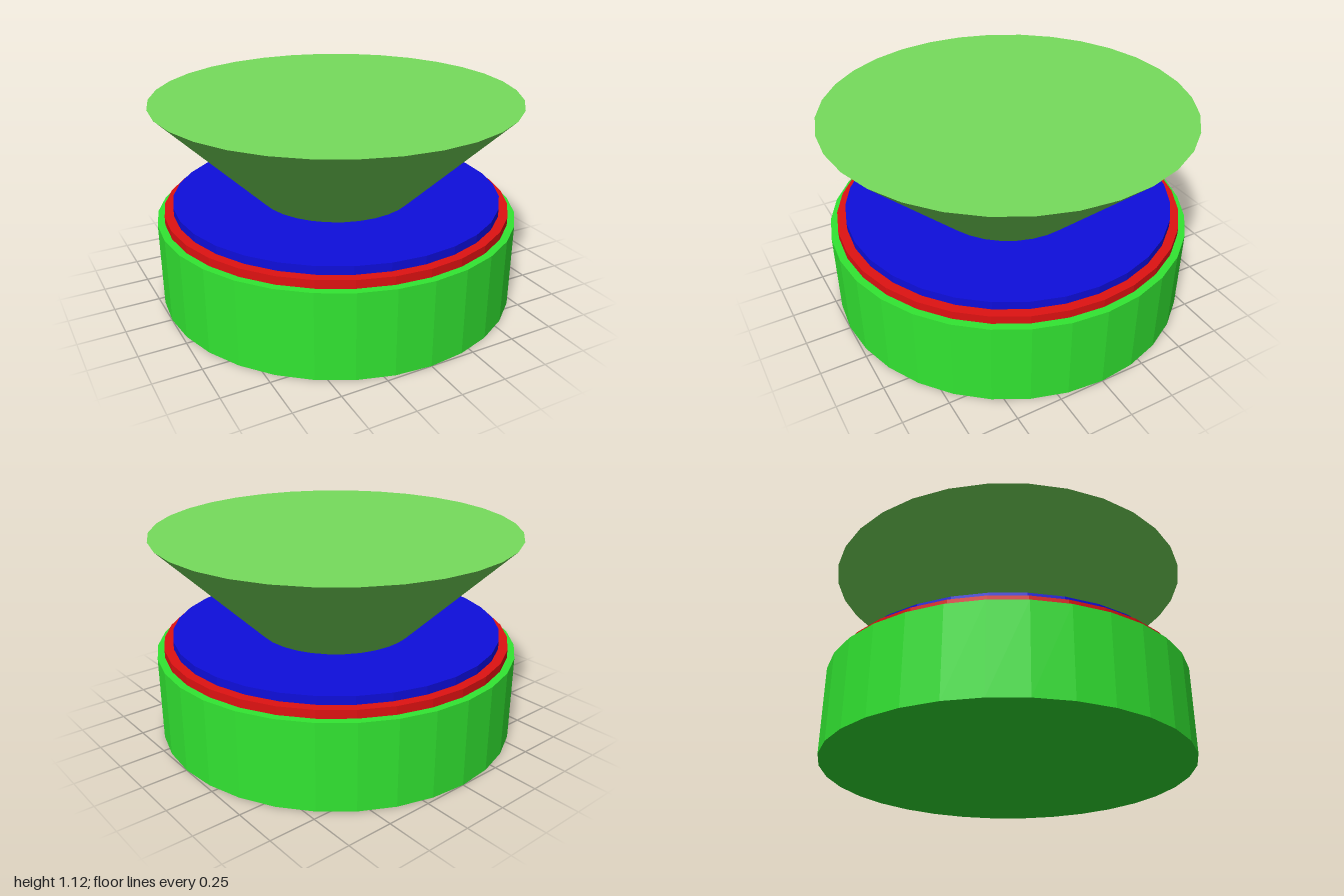
import * as THREE from 'three';

const SIDES = 32;

function material(name, color) {
  const m = new THREE.MeshStandardMaterial({ color });
  m.name = name;
  return m;
}

export function createModel() {
  const model = new THREE.Group();
  model.name = 'flaredPedestal';

  // Stacked round parts: name, colour, bottom y, top y, bottom radius, top radius
  const parts = [
    ['base', material('bright green', 0x32e632), 0, 0.475, 1, 1],
    ['lowerRing', material('red', 0xe01212), 0.475, 0.52, 0.96, 0.96],
    ['upperDisc', material('blue', 0x0e0edc), 0.52, 0.565, 0.91, 0.91],
    ['flaredTop', material('soft green', 0x76dc5c), 0.565, 1.12, 0.435, 1],
  ];

  for (const [name, mat, y0, y1, r0, r1] of parts) {
    // Unshared vertices give each side its own flat normal
    const geometry = new THREE.CylinderGeometry(r1, r0, y1 - y0, SIDES).toNonIndexed();
    geometry.computeVertexNormals();
    const mesh = new THREE.Mesh(geometry, mat);
    mesh.name = name;
    mesh.position.y = (y0 + y1) / 2;
    model.add(mesh);
  }

  return model;
}
